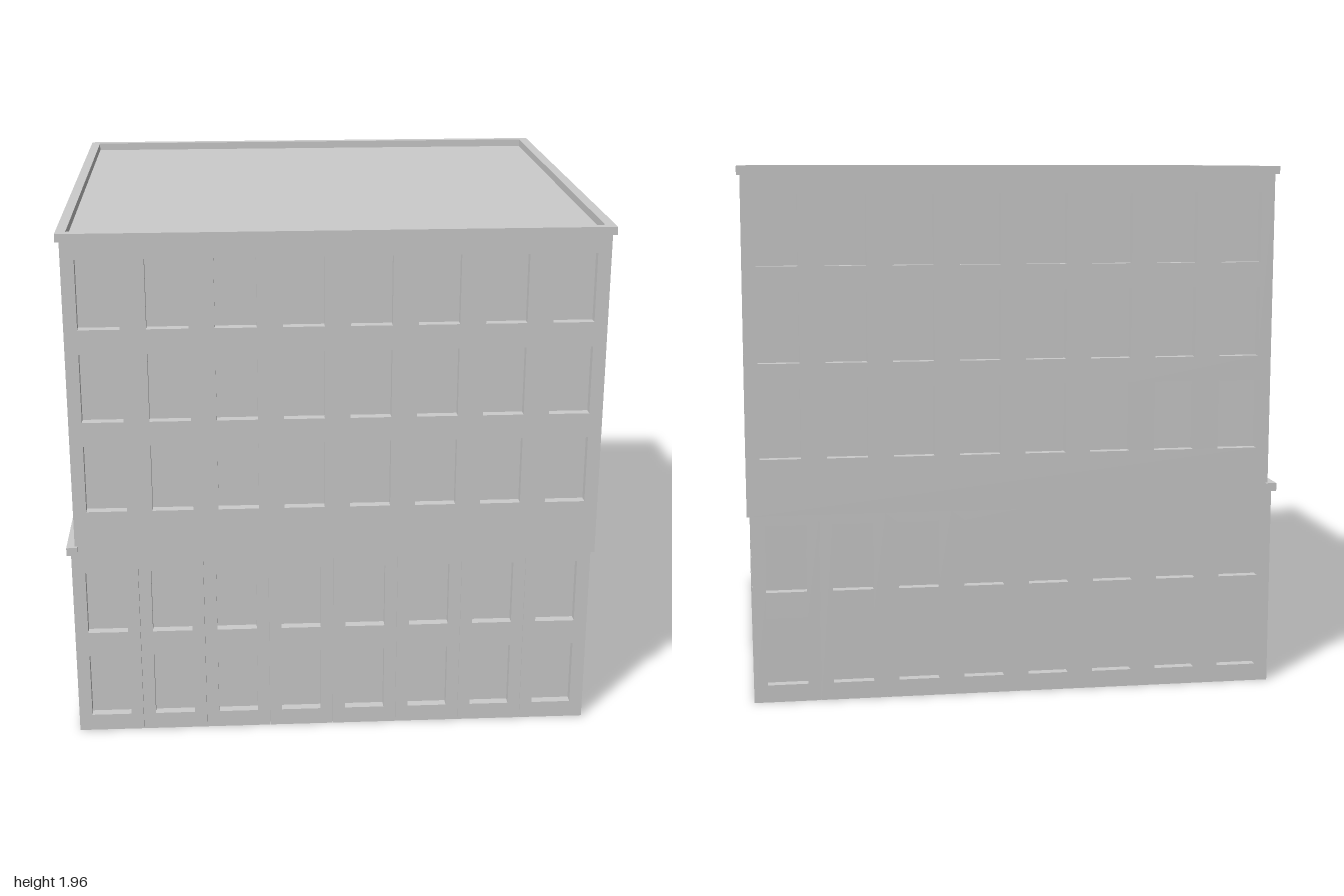
import * as THREE from 'three';

const material = new THREE.MeshStandardMaterial({ color: 0xcccccc, flatShading: true });
const DEPTH = 0.035; // window recess and wall thickness
const COLUMNS = 8;
const HALF_Z = 0.91;

function rectangle(Type, x0, y0, x1, y1) {
  const r = new Type();
  r.moveTo(x0, y0);
  r.lineTo(x1, y0);
  r.lineTo(x1, y1);
  r.lineTo(x0, y1);
  r.closePath();
  return r;
}

function box(name, x0, x1, y0, y1, z0, z1) {
  const mesh = new THREE.Mesh(new THREE.BoxGeometry(x1 - x0, y1 - y0, z1 - z0), material);
  mesh.position.set((x0 + x1) / 2, (y0 + y1) / 2, (z0 + z1) / 2);
  mesh.name = name;
  return mesh;
}

// Wall slab with window holes; its outer face lies on local z = 0
function wallPanel(name, x0, x1, y0, y1, centres, width, rows) {
  const shape = rectangle(THREE.Shape, x0, y0, x1, y1);
  for (const c of centres) {
    for (const [bottom, top] of rows) {
      shape.holes.push(rectangle(THREE.Path, c - width / 2, bottom, c + width / 2, top));
    }
  }
  const geometry = new THREE.ExtrudeGeometry(shape, { depth: DEPTH, bevelEnabled: false });
  geometry.translate(0, 0, -DEPTH);
  const mesh = new THREE.Mesh(geometry, material);
  mesh.name = name;
  return mesh;
}

const columnCentres = (pitch) =>
  Array.from({ length: COLUMNS }, (_, i) => (i - (COLUMNS - 1) / 2) * pitch);

// One tier of storeys: four pierced walls around a solid core that forms the panes
function tier(name, x0, x1, y0, y1, rows, seam) {
  const group = new THREE.Group();
  group.name = name;
  const mid = (x0 + x1) / 2;
  const half = (x1 - x0) / 2;
  const pitch = 0.2438;
  const centres = columnCentres(pitch);

  for (const [side, turn, z] of [['front', 0, HALF_Z], ['back', Math.PI, -HALF_Z]]) {
    const wall = new THREE.Group();
    wall.name = side + 'Wall';
    if (seam > 0) {
      // separate panels with a hairline joint between them
      centres.forEach((c, i) => {
        const left = i === 0 ? -half : c - pitch / 2 + seam / 2;
        const right = i === COLUMNS - 1 ? half : c + pitch / 2 - seam / 2;
        wall.add(wallPanel('wallPanel', left, right, y0, y1, [c], 0.15, rows));
      });
    } else {
      wall.add(wallPanel('wallPanel', -half, half, y0, y1, centres, 0.15, rows));
    }
    wall.position.set(mid, 0, z);
    wall.rotation.y = turn;
    group.add(wall);
  }

  const reach = HALF_Z - DEPTH;
  for (const [side, turn, x] of [['left', Math.PI / 2, x1], ['right', -Math.PI / 2, x0]]) {
    const wall = wallPanel(side + 'Wall', -reach, reach, y0, y1, columnCentres(0.228), 0.14, rows);
    wall.position.x = x;
    wall.rotation.y = turn;
    group.add(wall);
  }

  group.add(box('windowPanes', x0 + DEPTH, x1 - DEPTH, y0, y1, -reach, reach));
  return group;
}

export function createModel() {
  const model = new THREE.Group();
  model.name = 'building';

  // Two lower storeys, shifted slightly sideways from the three above
  model.add(tier('lowerStoreys', -0.985, 0.97, 0, 0.7,
    [[0.065, 0.317], [0.415, 0.665]], 0.001));
  model.add(tier('upperStoreys', -0.97, 0.985, 0.7, 1.93,
    [[0.909, 1.166], [1.258, 1.515], [1.607, 1.863]], 0));

  // Moulding over the step in the side wall
  model.add(box('ledgeBacking', -0.985, -0.97, 0.7, 0.745, -HALF_Z, HALF_Z));
  model.add(box('ledge', -1, -0.96, 0.742, 0.773, -0.925, 0.925));

  // Raised rim around the flat roof
  const rim = rectangle(THREE.Shape, -0.983, -0.925, 0.998, 0.925);
  rim.holes.push(rectangle(THREE.Path, -0.947, -0.89, 0.96, 0.89));
  const rimGeometry = new THREE.ExtrudeGeometry(rim, { depth: 0.03, bevelEnabled: false });
  rimGeometry.rotateX(-Math.PI / 2);
  const parapet = new THREE.Mesh(rimGeometry, material);
  parapet.position.y = 1.93;
  parapet.name = 'parapet';
  model.add(parapet);

  return model;
}
